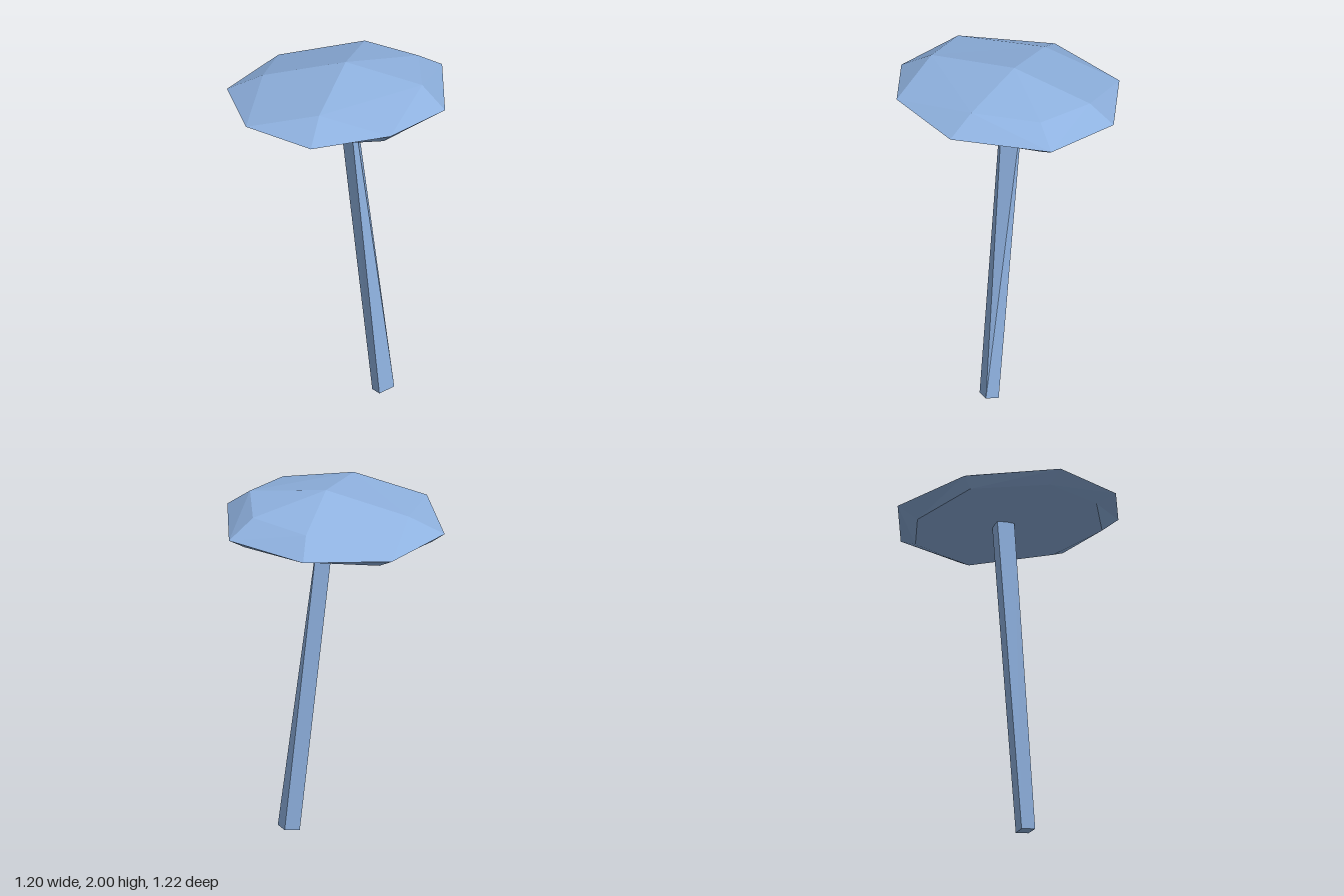
import * as THREE from 'three';

// Flat-shaded mesh from triangles given as corner triples
function facetMesh(name, triangles, material) {
  const geometry = new THREE.BufferGeometry();
  geometry.setAttribute('position', new THREE.Float32BufferAttribute(triangles.flat(2), 3));
  geometry.computeVertexNormals();
  const mesh = new THREE.Mesh(geometry, material);
  mesh.name = name;
  return mesh;
}

// Triangles joining two rings of equal length, both counter-clockwise seen from above
function band(lower, upper) {
  return lower.flatMap((p, i) => {
    const j = (i + 1) % lower.length;
    return [[p, lower[j], upper[j]], [p, upper[j], upper[i]]];
  });
}

export function createModel() {
  const group = new THREE.Group();
  group.name = 'mushroom';
  const blue = new THREE.MeshStandardMaterial({ color: 0x8fb2e0, flatShading: true });
  blue.name = 'pale blue';

  // Cap: a tilted, irregular dome with an eight-sided rim
  const apex = [0.02, 2.0, -0.035];
  const rim = [
    [-0.30, 1.825, 0.585], [0.14, 1.87, 0.61], [0.505, 1.835, 0.315], [0.60, 1.812, -0.24],
    [0.25, 1.775, -0.58], [-0.24, 1.762, -0.61], [-0.60, 1.78, -0.255], [-0.60, 1.83, 0.275],
  ];
  const shoulder = [
    [-0.22, 1.937, 0.42], [0.40, 1.942, 0.20], [0.21, 1.888, -0.45], [-0.41, 1.875, -0.20],
  ];
  const bump = [0.455, 1.915, -0.18];
  const dome = [];
  shoulder.forEach((m, i) => {
    const next = shoulder[(i + 1) % 4];
    const corner = rim[2 * i], before = rim[(2 * i + 7) % 8], after = rim[2 * i + 1];
    dome.push([m, before, corner], [m, corner, after]);
    if (i === 1) { // raised shoulder on the left side
      dome.push([apex, m, bump], [apex, bump, next], [m, after, bump], [bump, after, next]);
    } else {
      dome.push([apex, m, next], [m, after, next]);
    }
  });
  group.add(facetMesh('capTop', dome, blue));

  // Underside: bevel below the rim, then a shallow hollow
  const lip = [
    [-0.24, 1.79, 0.48], [0.12, 1.795, 0.52], [0.42, 1.785, 0.26], [0.505, 1.755, -0.20],
    [0.23, 1.75, -0.50], [-0.19, 1.705, -0.50], [-0.54, 1.73, -0.22], [-0.51, 1.775, 0.22],
  ];
  const centre = [0.01, 1.785, -0.01];
  const under = band(lip, rim);
  lip.forEach((p, i) => under.push([centre, lip[(i + 1) % 8], p]));
  group.add(facetMesh('capUnderside', under, blue));

  // Stem: a leaning, slightly twisted four-sided post
  const foot = [[0.17, 0.01, 0.155], [0.26, 0.025, 0.12], [0.235, 0.015, 0.05], [0.145, 0, 0.08]];
  const head = [[0.02, 1.81, 0.035], [0.04, 1.81, 0.028], [0.07, 1.81, -0.085], [-0.025, 1.81, -0.06]];
  const post = band(foot, head);
  post.push([foot[0], foot[2], foot[1]], [foot[0], foot[3], foot[2]]);
  post.push([head[0], head[1], head[2]], [head[0], head[2], head[3]]);
  group.add(facetMesh('stem', post, blue));

  return group;
}
